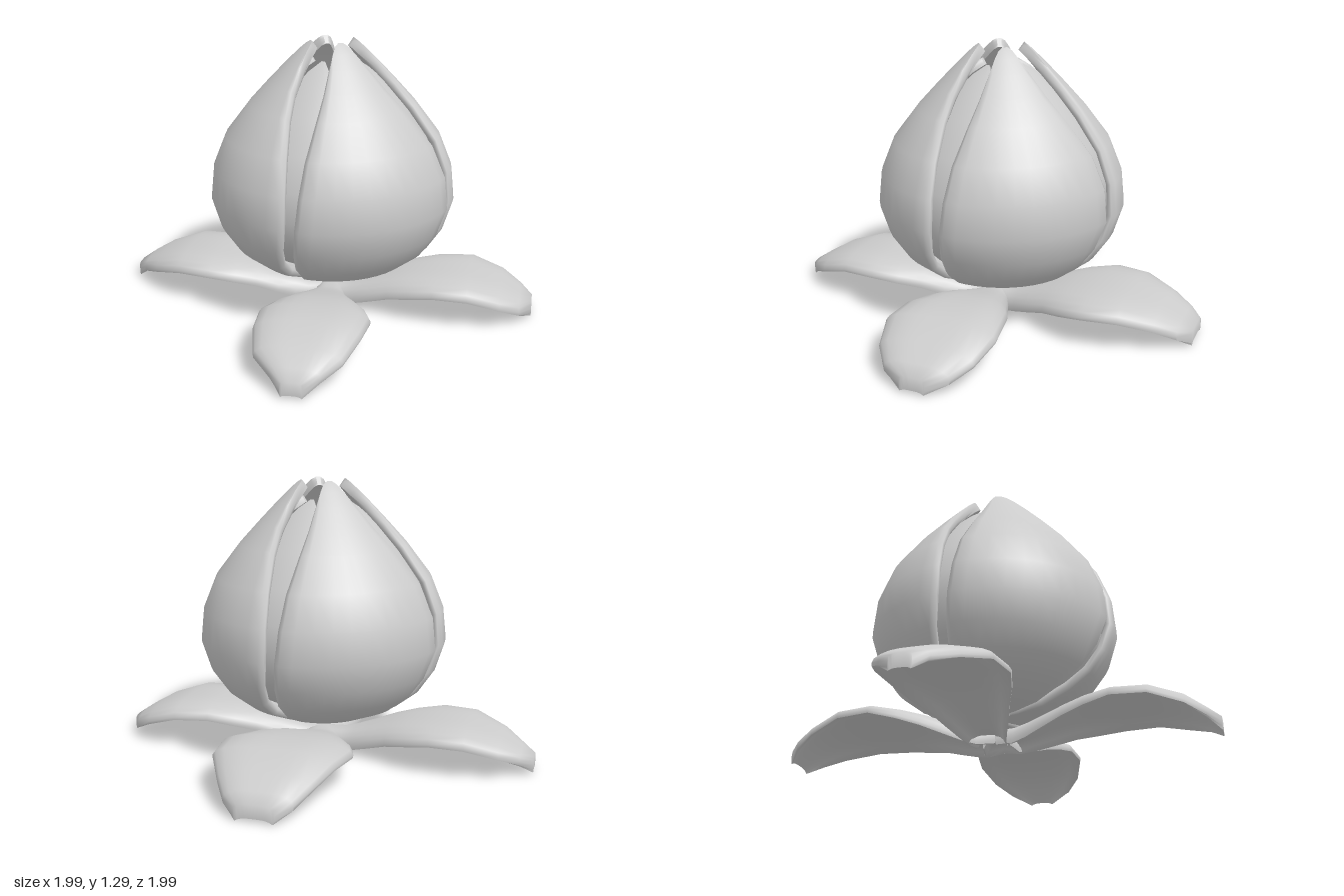
import * as THREE from 'three';
import { toCreasedNormals } from 'three/addons/utils/BufferGeometryUtils.js';

const material = new THREE.MeshStandardMaterial({ color: 0xcccccc });
const rad = THREE.MathUtils.degToRad;

// Positions across a blade (0 to 1), closer together at the rounded rims
const ACROSS = [0, 0.03, 0.1, 0.2, 0.3, 0.4, 0.5, 0.6, 0.7, 0.8, 0.9, 0.97, 1];
const RIM = 0.3;

// One ring: across the outer face, then back along the inner face, with softened rims.
// point(t, depth) takes depth 0 for the outer face and 1 for the inner face.
function bladeRing(point) {
  const isRim = (t) => t === 0 || t === 1;
  const outer = ACROSS.map((t) => point(t, isRim(t) ? RIM : 0));
  const inner = ACROSS.map((t) => point(t, isRim(t) ? 1 - RIM : 1));
  return [...outer, ...inner.reverse()];
}

// Closed thin shell through the rings
function shell(rings, name) {
  const n = rings[0].length, last = (rings.length - 1) * n;
  const index = [];
  for (let i = 0; i < rings.length - 1; i++) {
    for (let j = 0; j < n; j++) {
      const a = i * n + j, b = i * n + (j + 1) % n;
      index.push(a, b, a + n, b, b + n, a + n);
    }
  }
  // end caps
  for (let j = 0; j < n / 2 - 1; j++) {
    const k = n - 1 - j;
    index.push(j, k, j + 1, j + 1, k, k - 1);
    index.push(last + j, last + j + 1, last + k, last + j + 1, last + k - 1, last + k);
  }
  const geometry = new THREE.BufferGeometry();
  geometry.setAttribute('position', new THREE.Float32BufferAttribute(rings.flat(2), 3));
  geometry.setIndex(index);
  const mesh = new THREE.Mesh(toCreasedNormals(geometry, rad(70)), material);
  mesh.name = name;
  return mesh;
}

// Petal rows: height, radius, start angle, end angle (degrees, from +x towards +z)
const OUTER = [
  [0.165, 0.004, 22, 102], [0.172, 0.12, 22, 102], [0.19, 0.24, 21, 102], [0.245, 0.37, 20, 102],
  [0.32, 0.468, 17, 100], [0.42, 0.537, 14, 98], [0.55, 0.578, 11, 96], [0.7, 0.563, 11, 94.5],
  [0.85, 0.503, 13, 93], [1.0, 0.39, 19, 90], [1.1, 0.3, 25, 87], [1.19, 0.215, 31, 84],
  [1.25, 0.155, 38, 80], [1.28, 0.122, 44, 75], [1.293, 0.105, 53, 66],
];
const INNER = [
  [0.21, 0.004, -28, 48], [0.22, 0.12, -28, 48], [0.25, 0.24, -28, 48], [0.3, 0.34, -28, 48],
  [0.42, 0.455, -28, 48], [0.56, 0.505, -28, 48], [0.7, 0.495, -28, 48], [0.85, 0.435, -27, 48],
  [1.0, 0.33, -23, 45], [1.1, 0.24, -16, 39], [1.17, 0.165, -7, 31], [1.21, 0.11, 7, 16],
];

function petal(rows, thickness, name) {
  const rings = rows.map(([y, r, lo, hi], i) => {
    const before = rows[Math.max(i - 1, 0)], after = rows[Math.min(i + 1, rows.length - 1)];
    const dy = after[0] - before[0], dr = after[1] - before[1];
    const inward = thickness / Math.hypot(dy, dr);
    return bladeRing((t, depth) => {
      const a = rad(hi + (lo - hi) * t);
      const radius = Math.max(0.002, r - depth * dy * inward);
      return [radius * Math.cos(a), y + depth * dr * inward, radius * Math.sin(a)];
    });
  });
  return shell(rings, name);
}

// Sepal stem rows: distance from the centre, share of the blade's offset and half width, top, thickness
const STEM = [
  [0.0, 0.5, 0.28, 0.1, 0.04], [0.08, 0.5, 0.34, 0.1, 0.045], [0.14, 0.55, 0.42, 0.115, 0.045],
  [0.22, 0.62, 0.55, 0.14, 0.04], [0.32, 0.75, 0.7, 0.175, 0.037], [0.42, 0.9, 0.87, 0.2, 0.035],
];
// Sepal blade rows: distance, top, thickness
const BLADE = [
  [0.54, 0.215, 0.035], [0.7, 0.215, 0.035], [0.85, 0.168, 0.035], [0.94, 0.118, 0.042], [0.995, 0.082, 0.06],
];
// Blade offset and half width per row, for the front, right-hand, back and left-hand sepals
const SEPALS = [
  [[0.055, 0.255], [0.055, 0.24], [0.05, 0.195], [0.06, 0.11], [0.055, 0.05]],
  [[0.01, 0.245], [0.02, 0.265], [0.025, 0.225], [0.025, 0.155], [0.03, 0.06]],
  [[-0.047, 0.307], [-0.055, 0.28], [-0.045, 0.21], [-0.04, 0.155], [-0.04, 0.09]],
  [[-0.06, 0.265], [-0.08, 0.255], [-0.1, 0.185], [-0.115, 0.105], [-0.11, 0.05]],
];

function sepal(sections) {
  const [offset, width] = sections[0];
  const rows = [
    ...STEM.map(([s, shift, share, top, thick]) => [s, offset * shift, width * share, top, thick]),
    ...BLADE.map(([s, top, thick], i) => [s, ...sections[i], top, thick]),
  ];
  const rings = rows.map(([s, mid, half, top, thick]) => {
    // the rims hang down, so the underside is hollow like a spoon
    const droop = s < 0.5 ? 0.055 : 0.045 * Math.min(1, half / 0.2);
    return bladeRing((t, depth) => {
      const u = 1 - 2 * t;
      return [mid + half * u * (1 - 0.03 * depth), top - thick * depth - droop * u ** 4, s];
    });
  });
  return shell(rings, 'sepal');
}

export function createModel() {
  const flower = new THREE.Group();
  flower.name = 'flowerBud';

  // two whorls of four petals, closed into a bud
  const bud = new THREE.Group();
  bud.name = 'bud';
  bud.position.set(0.025, 0, -0.025);

  // four spread sepals, each a little different
  const sepals = new THREE.Group();
  sepals.name = 'sepals';

  for (let k = 0; k < 4; k++) {
    const outer = petal(OUTER, 0.045, 'outerPetal');
    const inner = petal(INNER, 0.035, 'innerPetal');
    const leaf = sepal(SEPALS[k]);
    for (const part of [outer, inner, leaf]) part.rotation.y = k * Math.PI / 2;
    bud.add(outer, inner);
    sepals.add(leaf);
  }
  flower.add(bud, sepals);
  return flower;
}
